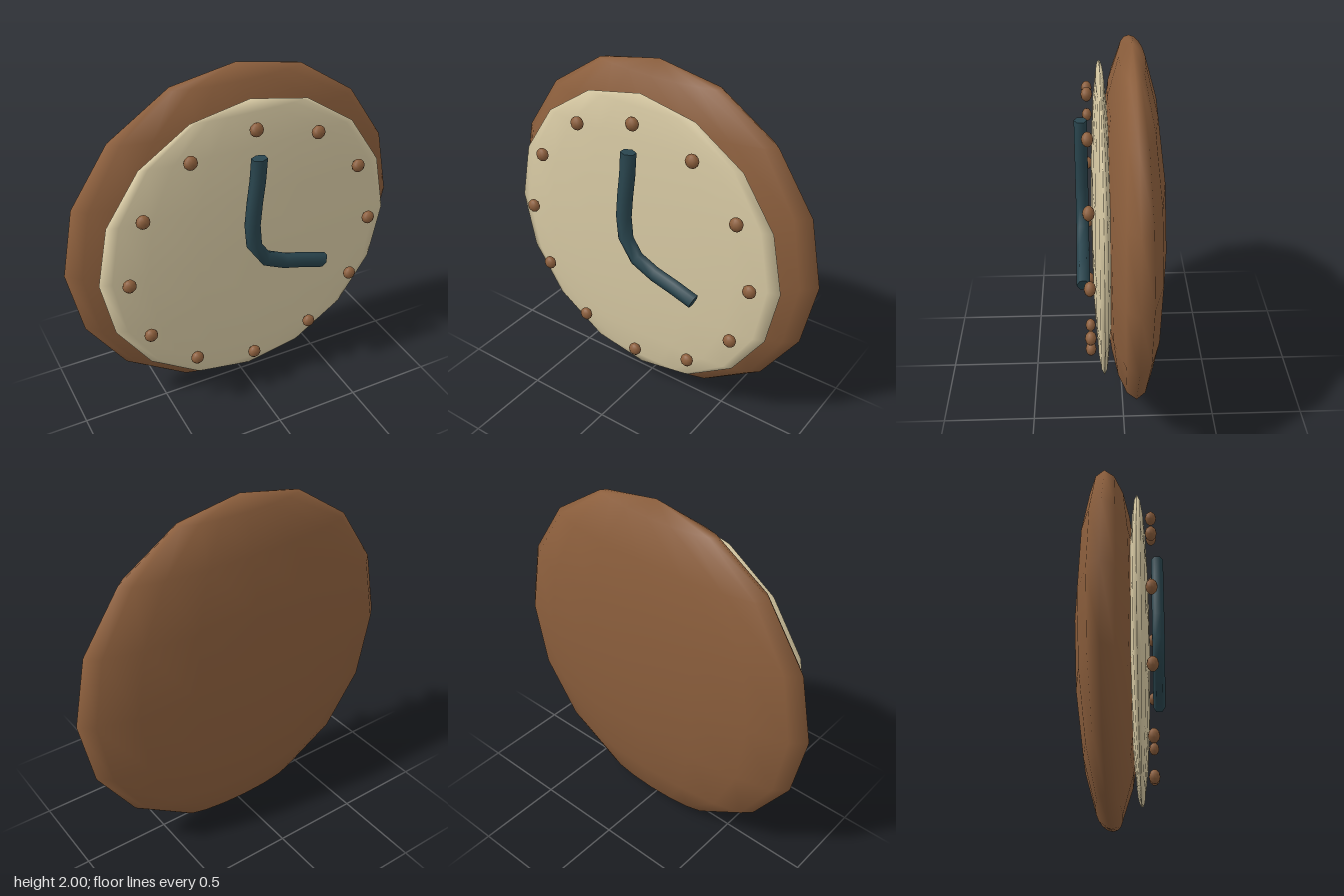
import * as THREE from 'three';

const material = (name, color) => {
  const m = new THREE.MeshStandardMaterial({ color });
  m.name = name;
  return m;
};

export function createModel() {
  const brown = material('wood brown', 0x8b5e3c);
  const cream = material('dial cream', 0xd8caa4);
  const teal = material('hand teal', 0x2a464f);
  const clock = new THREE.Group();
  clock.name = 'wallClock';

  // A ball flattened along z
  function disc(name, mat, radius, depth, x, y, z, sides = 16) {
    const mesh = new THREE.Mesh(new THREE.SphereGeometry(radius, sides, sides / 2), mat);
    mesh.name = name;
    mesh.scale.z = depth / radius;
    mesh.position.set(x, y, z);
    clock.add(mesh);
  }

  disc('case', brown, 1, 0.18, 0, 1, -0.06);
  disc('dial', cream, 0.868, 0.056, 0, 1, 0.105);

  // Twelve hour studs
  for (let i = 0; i < 12; i++) {
    const a = (i / 12) * Math.PI * 2;
    disc('hourStud', brown, 0.038, 0.03, 0.727 * Math.sin(a), 1 + 0.727 * Math.cos(a), 0.175, 12);
  }

  // Both hands as one bent six-sided rod with closed ends
  const hands = new THREE.Group();
  hands.name = 'hands';
  hands.position.z = 0.209;
  hands.scale.z = 0.78;
  const path = new THREE.CatmullRomCurve3([
    new THREE.Vector3(0, 1.583, 0),
    new THREE.Vector3(0, 1, 0),
    new THREE.Vector3(0.418, 0.823, 0),
  ]);
  const radius = 0.045;
  const rod = new THREE.Mesh(new THREE.TubeGeometry(path, 8, radius, 6), teal);
  rod.name = 'handRod';
  hands.add(rod);
  for (const [t, sign] of [[0, -1], [1, 1]]) {
    const cap = new THREE.Mesh(new THREE.CircleGeometry(radius, 6, 0), teal);
    cap.name = 'handEnd';
    const out = path.getTangentAt(t).multiplyScalar(sign);
    const xAxis = new THREE.Vector3(0, 0, 1);
    const yAxis = new THREE.Vector3().crossVectors(out, xAxis);
    cap.quaternion.setFromRotationMatrix(new THREE.Matrix4().makeBasis(xAxis, yAxis, out));
    cap.position.copy(path.getPointAt(t));
    hands.add(cap);
  }
  clock.add(hands);
  return clock;
}
